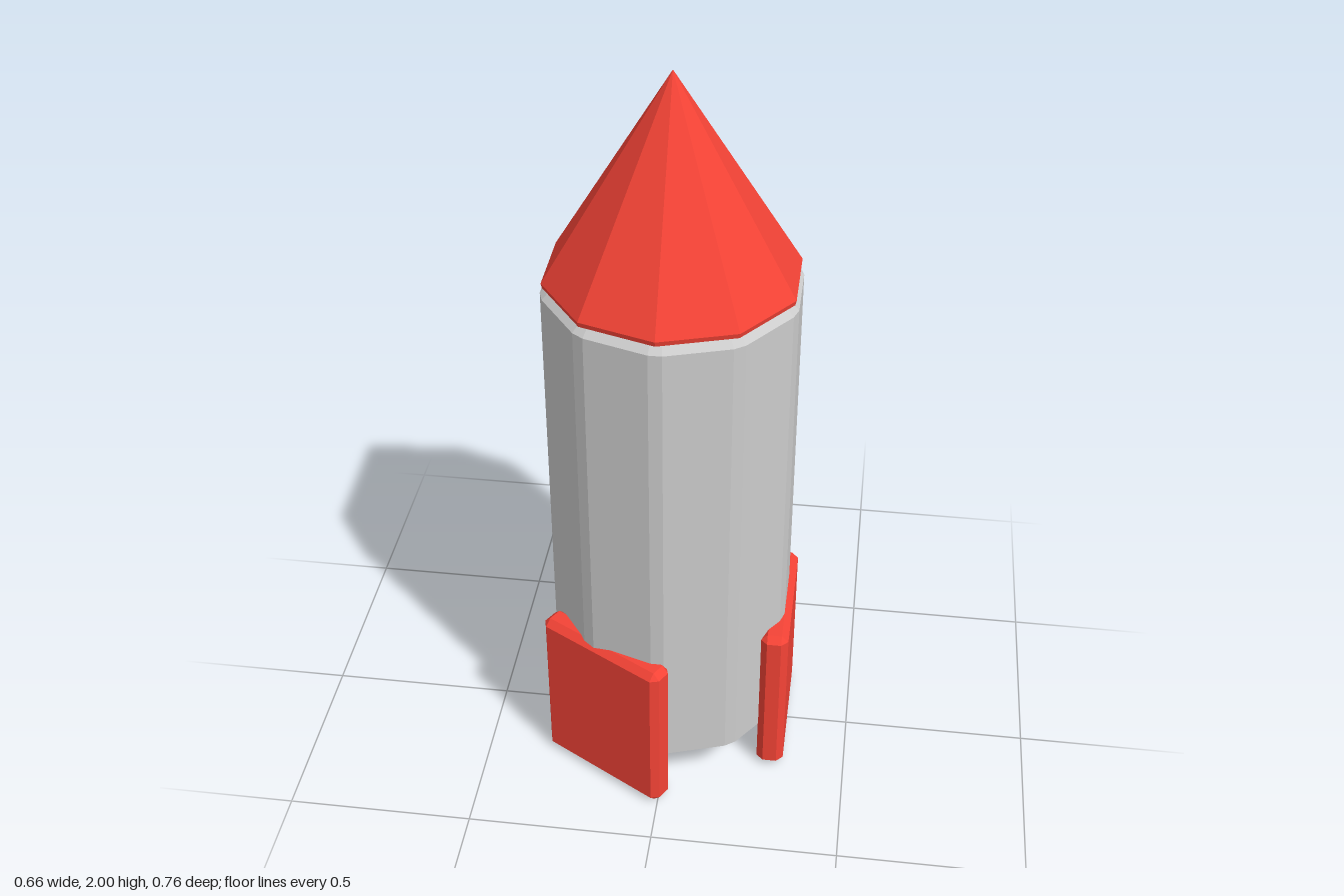
import * as THREE from 'three';
import { ConvexGeometry } from 'three/addons/geometries/ConvexGeometry.js';

const SIDES = 10;
const BEVEL = 0.018;

// Box with every edge and corner cut off flat
function chamferedBox(w, h, d, b) {
  const half = [w / 2, h / 2, d / 2];
  const points = [];
  for (const sx of [-1, 1]) for (const sy of [-1, 1]) for (const sz of [-1, 1]) {
    for (let full = 0; full < 3; full++) {
      const p = half.map((v, i) => (i === full ? v : v - b));
      points.push(new THREE.Vector3(p[0] * sx, p[1] * sy, p[2] * sz));
    }
  }
  return new ConvexGeometry(points);
}

// Ten-sided prism with its upright edges and both rims cut off flat
function chamferedPrism(radius, y0, y1, b) {
  const corner = (i) => {
    const a = Math.PI / 2 + (i * Math.PI * 2) / SIDES;
    return new THREE.Vector2(Math.cos(a) * radius, Math.sin(a) * radius);
  };
  const edge = 2 * radius * Math.sin(Math.PI / SIDES);
  const points = [];
  for (let i = 0; i < SIDES; i++) {
    points.push(corner(i).lerp(corner(i - 1), b / edge), corner(i).lerp(corner(i + 1), b / edge));
  }
  const geo = new THREE.ExtrudeGeometry(new THREE.Shape(points), {
    depth: y1 - y0 - 2 * b, bevelEnabled: true, bevelSegments: 1,
    bevelThickness: b, bevelSize: b, bevelOffset: -b,
  });
  geo.rotateX(-Math.PI / 2);
  geo.translate(0, y0 + b, 0);
  return geo;
}

export function createModel() {
  const model = new THREE.Group();
  model.name = 'rocket';
  const grey = new THREE.MeshStandardMaterial({ color: 0xcccccc, flatShading: true });
  const red = new THREE.MeshStandardMaterial({ color: 0xf44336, flatShading: true });

  const add = (name, geometry, material) => {
    const mesh = new THREE.Mesh(geometry, material);
    mesh.name = name;
    model.add(mesh);
    return mesh;
  };

  // Hull
  add('body', chamferedPrism(0.332, 0.123, 1.455, BEVEL), grey);

  // Nose with a narrow cut rim at its base
  const profile = [[0, 1.452], [0.308, 1.452], [0.322, 1.46], [0.325, 1.473], [0, 2]]
    .map(([r, y]) => new THREE.Vector2(r, y));
  add('noseCone', new THREE.LatheGeometry(profile, SIDES), red);

  // Three fin plates set flat against the hull
  const finGeometry = chamferedBox(0.074, 0.472, 0.39, BEVEL);
  for (let i = 0; i < 3; i++) {
    const a = (i * Math.PI * 2) / 3;
    const fin = add('fin' + (i + 1), finGeometry, red);
    fin.position.set(Math.cos(a) * 0.297, 0.236, -Math.sin(a) * 0.297);
    fin.rotation.y = a;
  }

  // Balance the uneven fin layout about x = 0
  for (const part of model.children) part.position.x -= 0.004;
  return model;
}
